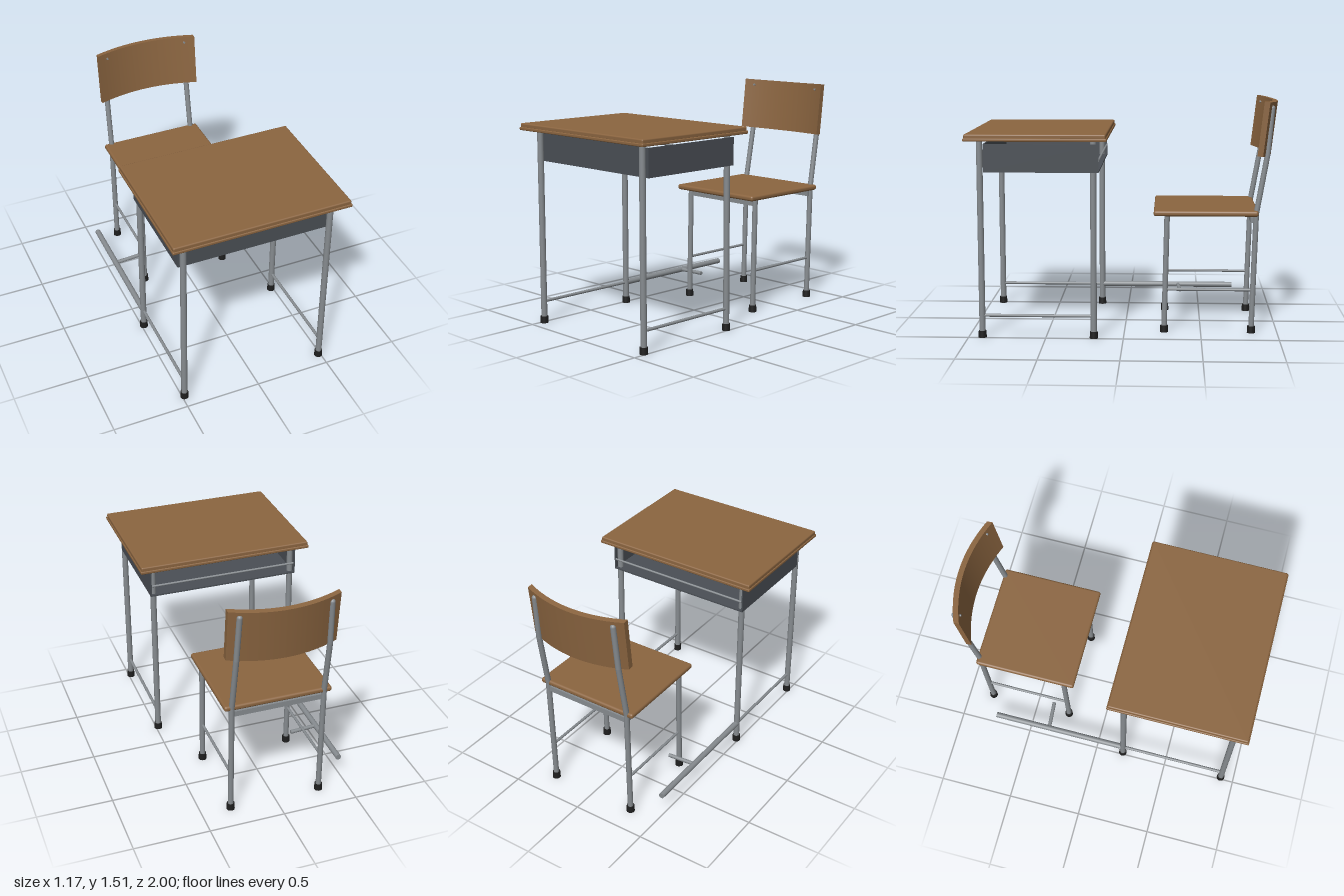
import * as THREE from 'three';
import { toCreasedNormals } from 'three/addons/utils/BufferGeometryUtils.js';
import { RoundedBoxGeometry } from 'three/addons/geometries/RoundedBoxGeometry.js';

export function createModel() {
  const mat = (name, color) => {
    const m = new THREE.MeshStandardMaterial({ color });
    m.name = name;
    return m;
  };
  const wood = mat('wood', 0x8b6540);
  const metal = mat('steel tube', 0x868b8f);
  const sheet = mat('tray sheet', 0x4a4f55);
  const rubber = mat('rubber', 0x1e1e1e);

  const model = new THREE.Group();
  model.name = 'schoolDeskAndChair';
  const desk = new THREE.Group();
  desk.name = 'desk';
  const chair = new THREE.Group();
  chair.name = 'chair';
  model.add(desk, chair);

  const add = (parent, name, geometry, material, x = 0, y = 0, z = 0) => {
    const m = new THREE.Mesh(geometry, material);
    m.name = name;
    m.position.set(x, y, z);
    parent.add(m);
    return m;
  };
  const box = (parent, name, material, [w, h, d], [x, y, z]) =>
    add(parent, name, new THREE.BoxGeometry(w, h, d), material, x, y, z);

  // Round bar from point a to point b
  const bar = (parent, name, a, b, r, material = metal) => {
    const p = new THREE.Vector3(...a), q = new THREE.Vector3(...b);
    const dir = q.clone().sub(p);
    const m = add(parent, name, new THREE.CylinderGeometry(r, r, dir.length(), 20), material);
    m.position.copy(p).add(q).multiplyScalar(0.5);
    m.quaternion.setFromUnitVectors(new THREE.Vector3(0, 1, 0), dir.normalize());
    return m;
  };
  const foot = (parent, x, z) =>
    add(parent, 'rubberFoot', new THREE.CylinderGeometry(0.025, 0.027, 0.045, 20), rubber, x, 0.0225, z);

  // Desk top: board over a slightly wider lip
  add(desk, 'deskTopLip', new RoundedBoxGeometry(1.17, 0.02, 0.9, 2, 0.006), wood, 0, 1.287, 0.55);
  add(desk, 'deskTop', new RoundedBoxGeometry(1.158, 0.032, 0.888, 3, 0.009), wood, 0, 1.306, 0.55);

  // Tray, open at the back and the top
  box(desk, 'trayFloor', sheet, [1.01, 0.01, 0.73], [0, 1.08, 0.52]);
  box(desk, 'trayFront', sheet, [1.01, 0.18, 0.01], [0, 1.165, 0.88]);
  bar(desk, 'trayRod', [-0.5, 1.15, 0.158], [0.5, 1.15, 0.158], 0.007);

  for (const s of [-1, 1]) {
    box(desk, 'traySide', sheet, [0.008, 0.18, 0.73], [s * 0.506, 1.165, 0.52]);
    // Desk legs and low side rails
    for (const z of [0.91, 0.19]) {
      bar(desk, 'deskLeg', [s * 0.485, 0.02, z], [s * 0.485, 1.28, z], 0.02);
      foot(desk, s * 0.485, z);
    }
    bar(desk, 'deskRail', [s * 0.485, 0.145, 0.91], [s * 0.485, 0.145, 0.19], 0.01);

    // Chair front leg and side rail
    bar(chair, 'frontLeg', [s * 0.305, 0.02, -0.26], [s * 0.305, 0.78, -0.277], 0.018);
    bar(chair, 'chairRail', [s * 0.305, 0.285, -0.266], [s * 0.305, 0.285, -0.836], 0.009);
    foot(chair, s * 0.305, -0.26);
    foot(chair, s * 0.305, -0.83);

    // Rear leg, bent at the seat and at the backrest
    const path = [[0.305, 0.02, -0.83], [0.305, 0.79, -0.852], [0.3, 1.17, -0.918], [0.29, 1.47, -0.945]]
      .map(([x, y, z]) => [s * x, y, z]);
    path.slice(1).forEach((p, i) => {
      bar(chair, 'rearLeg', path[i], p, 0.018);
      add(chair, 'rearLegBend', new THREE.SphereGeometry(0.018, 20, 12), metal, ...p);
    });

    // Backrest rivets
    bar(chair, 'rivet', [s * 0.285, 1.47, -0.94], [s * 0.285, 1.474, -0.902], 0.007);
  }

  // Long bar joining desk and chair, with its short side bar
  bar(desk, 'linkBar', [-0.485, 0.145, 0.19], [-0.485, 0.145, -0.74], 0.019);
  bar(desk, 'linkSideBar', [-0.485, 0.145, -0.353], [-0.295, 0.145, -0.368], 0.013);

  // Seat and the flat bars under it
  add(chair, 'seat', new RoundedBoxGeometry(0.71, 0.036, 0.675, 4, 0.015), wood, 0, 0.793, -0.5275);
  box(chair, 'frontSeatBar', metal, [0.6, 0.036, 0.024], [0, 0.748, -0.277]);
  box(chair, 'rearSeatBar', metal, [0.62, 0.036, 0.044], [0, 0.748, -0.838]);

  // Curved backrest: an arc in plan, raised and tilted back
  const half = 0.355, sag = 0.075, thick = 0.036, n = 24;
  const arc = (offset) => Array.from({ length: n + 1 }, (_, i) => {
    const t = (i / n) * 2 - 1;
    return new THREE.Vector2(t * half, offset + sag * (1 - t * t));
  });
  const plan = new THREE.Shape([...arc(0), ...arc(thick).reverse()]);
  const back = new THREE.ExtrudeGeometry(plan, { depth: 0.35, bevelEnabled: false });
  back.rotateX(-Math.PI / 2);
  back.rotateX(-0.115);
  add(chair, 'backrest', toCreasedNormals(back, 0.6), wood, 0, 1.167, -0.85);

  return model;
}
